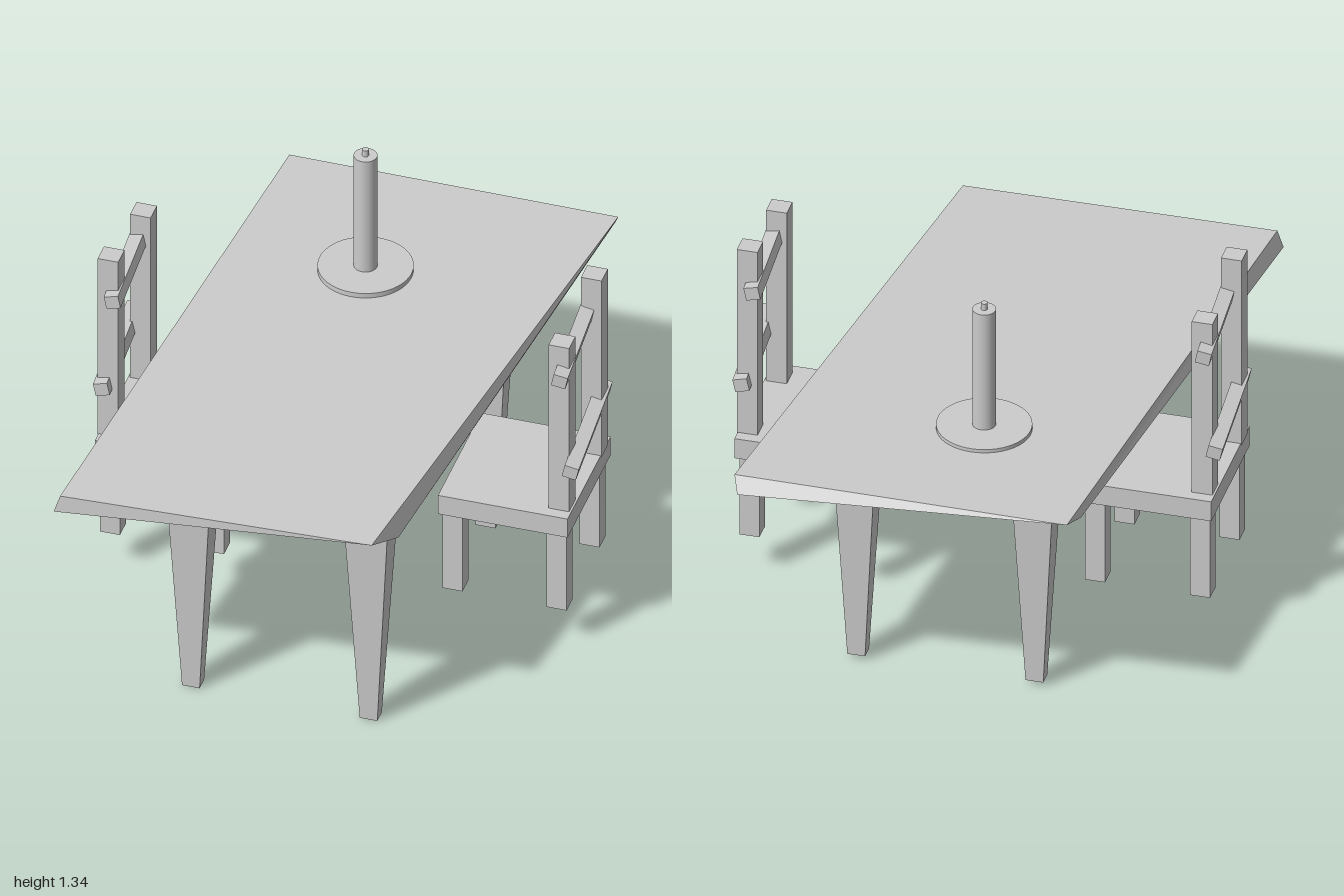
import * as THREE from 'three';

const flat = new THREE.MeshStandardMaterial({ color: 0xcccccc, flatShading: true });
const smooth = new THREE.MeshStandardMaterial({ color: 0xcccccc });

function add(parent, name, geometry, x, y, z, material = flat) {
  const mesh = new THREE.Mesh(geometry, material);
  mesh.name = name;
  mesh.position.set(x, y, z);
  parent.add(mesh);
  return mesh;
}

// Box given by its lowest and highest corner
function block(parent, name, [x0, y0, z0], [x1, y1, z1]) {
  return add(parent, name, new THREE.BoxGeometry(x1 - x0, y1 - y0, z1 - z0),
    (x0 + x1) / 2, (y0 + y1) / 2, (z0 + z1) / 2);
}

// Box whose vertices are moved by a rule on the corner signs
function shapedBox(rule) {
  const geometry = new THREE.BoxGeometry(2, 2, 2);
  const p = geometry.attributes.position;
  for (let i = 0; i < p.count; i++) p.setXYZ(i, ...rule(p.getX(i), p.getY(i), p.getZ(i)));
  geometry.computeVertexNormals();
  return geometry;
}

function createTable() {
  const table = new THREE.Group();
  table.name = 'table';

  // Skewed top: corners ordered back left, back right, front left, front right
  const upper = [[-0.535, 0.87, -0.97], [0.59, 0.87, -0.96], [-0.71, 0.828, 0.99], [0.345, 0.84, 0.965]];
  const lower = [[-0.545, 0.815, -0.83], [0.57, 0.82, -1.0], [-0.73, 0.765, 0.995], [0.385, 0.765, 0.8]];
  add(table, 'tableTop', shapedBox((x, y, z) =>
    (y > 0 ? upper : lower)[(x > 0 ? 1 : 0) + (z > 0 ? 2 : 0)]), 0, 0, 0);

  // Tapered legs: x, z, foot height, top height
  for (const [x, z, y0, y1] of [
    [-0.326, 0.765, 0, 0.785], [0.28, 0.765, 0, 0.785],
    [-0.33, -0.595, 0.015, 0.825], [0.272, -0.595, 0.015, 0.825],
  ]) {
    const leg = shapedBox((sx, sy, sz) => sy > 0
      ? [sx * 0.074, y1, sz * 0.056] : [sx * 0.03, y0, sz * 0.025]);
    add(table, 'tableLeg', leg, x, 0, z);
  }
  return table;
}

function createChair() {
  const chair = new THREE.Group();
  chair.name = 'chair';
  block(chair, 'seat', [0.345, 0.455, -0.24], [0.787, 0.53, 0.235]);

  for (const x of [0.355, 0.71])
    for (const z of [-0.213, 0.15])
      block(chair, 'chairLeg', [x, 0.145, z], [x + 0.068, 0.46, z + 0.066]);

  // Uneven back posts
  block(chair, 'backPost', [0.72, 0.525, -0.2], [0.79, 1.237, -0.13]);
  block(chair, 'backPost', [0.71, 0.525, 0.125], [0.78, 1.19, 0.195]);

  // Crooked rails nailed across the posts
  for (const [name, x, y, roll] of [['upperRail', 0.746, 1.093, -0.2], ['lowerRail', 0.783, 0.733, -0.22]]) {
    const rail = add(chair, name, new THREE.BoxGeometry(0.048, 0.046, 0.485), x, y, 0.005);
    rail.rotation.set(0.02, 0.07, roll, 'YXZ');
  }
  return chair;
}

function createCandle() {
  const candle = new THREE.Group();
  candle.name = 'candle';
  const x = -0.116, z = -0.457;
  const parts = [['plate', 0.157, 0.857, 0.875], ['candleStick', 0.039, 0.87, 1.32], ['wick', 0.011, 1.315, 1.344]];
  for (const [name, r, y0, y1] of parts)
    add(candle, name, new THREE.CylinderGeometry(r, r, y1 - y0, 48), x, (y0 + y1) / 2, z, smooth);
  return candle;
}

export function createModel() {
  const model = new THREE.Group();
  model.name = 'diningSet';

  const leftChair = createChair();
  leftChair.name = 'leftChair';
  const rightChair = createChair();
  rightChair.name = 'rightChair';
  // The opposite chair is the same one turned to face the table
  rightChair.rotation.y = Math.PI;
  rightChair.position.set(-0.025, 0, 0.037);

  model.add(createTable(), createCandle(), leftChair, rightChair);
  return model;
}
